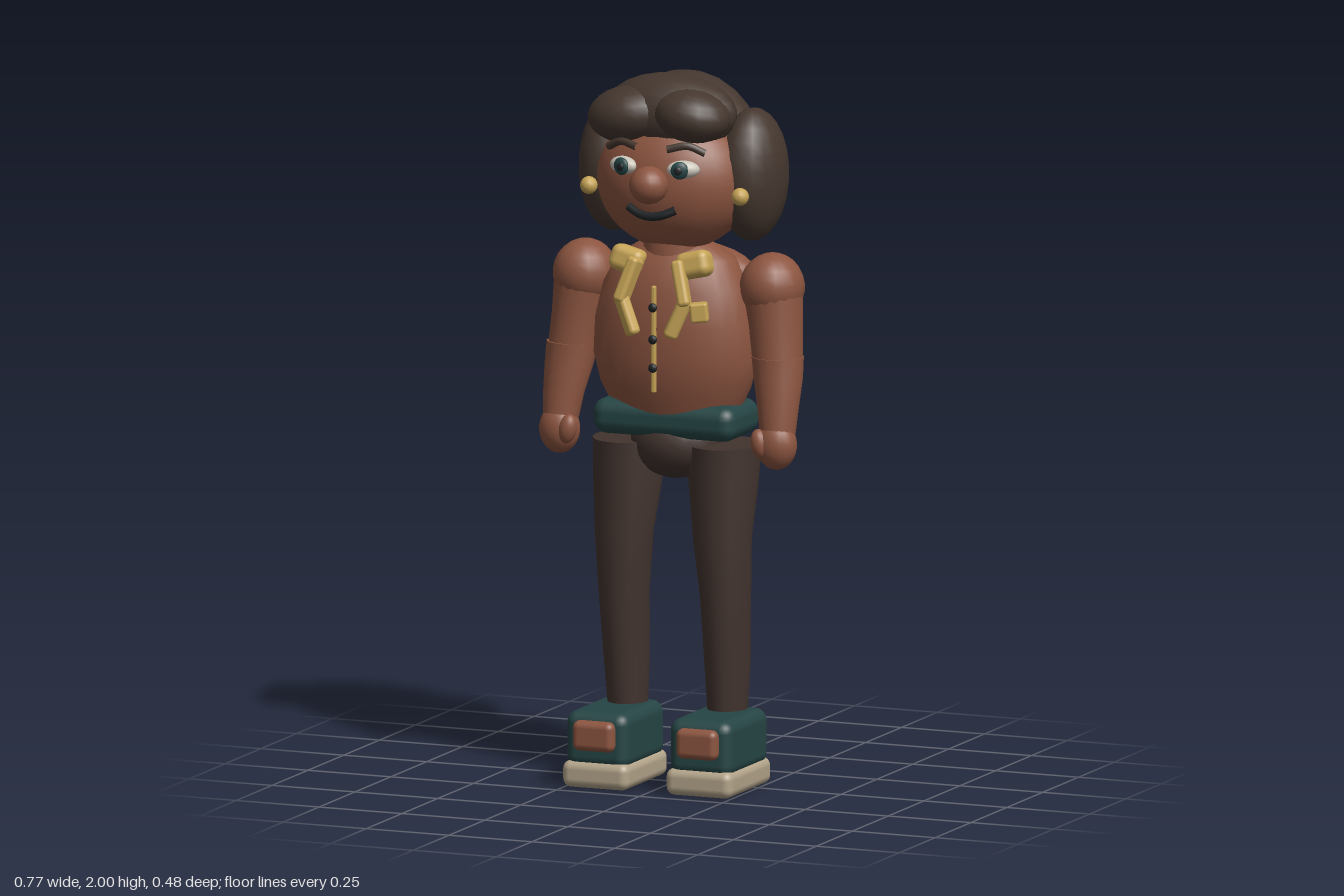
import * as THREE from 'three';
import { RoundedBoxGeometry } from 'three/addons/geometries/RoundedBoxGeometry.js';

const paint = (name, color) => {
  const m = new THREE.MeshStandardMaterial({ color });
  m.name = name;
  return m;
};

export function createModel() {
  const skin = paint('skin', 0x8c5540);
  const hair = paint('hair', 0x45372f);
  const cloth = paint('trousers', 0x42342f);
  const teal = paint('teal', 0x264545);
  const gold = paint('gold', 0xc6a456);
  const tan = paint('sole', 0xb3a48a);
  const white = paint('eyeWhite', 0xc9c4b8);
  const dark = paint('dark', 0x1e2224);

  const model = new THREE.Group();
  model.name = 'figure';

  const add = (name, geo, mat, p = [0, 0, 0], rot = [0, 0, 0]) => {
    const mesh = new THREE.Mesh(geo, mat);
    mesh.name = name;
    mesh.position.set(...p);
    mesh.rotation.set(...rot);
    model.add(mesh);
    return mesh;
  };
  const ball = (name, mat, p, r, rot, seg = 18) => {
    const mesh = add(name, new THREE.SphereGeometry(1, seg, Math.round(seg * 0.7)), mat, p, rot);
    mesh.scale.set(...r);
    return mesh;
  };
  const block = (name, mat, p, s, radius, rot) =>
    add(name, new RoundedBoxGeometry(...s, 3, radius), mat, p, rot);
  const tube = (name, mat, pts, r) => add(name, new THREE.TubeGeometry(
    new THREE.CatmullRomCurve3(pts.map(p => new THREE.Vector3(...p))), 12, r, 8), mat);

  // Flat bar running from a to b
  const bar = (name, mat, a, b, w, d) => {
    const A = new THREE.Vector3(...a), B = new THREE.Vector3(...b);
    const dir = B.clone().sub(A);
    const mesh = block(name, mat, A.clone().add(B).multiplyScalar(0.5).toArray(),
      [w, dir.length() + w * 0.5, d], d * 0.35);
    mesh.quaternion.setFromUnitVectors(new THREE.Vector3(0, 1, 0), dir.normalize());
  };

  // Capped body from oval rings [y, centreX, centreZ, radiusX, radiusZ], bottom to top
  const loft = (name, mat, rings, n = 20) => {
    const first = rings[0], last = rings[rings.length - 1];
    const all = [[...first.slice(0, 3), 0, 0], first, ...rings, last, [...last.slice(0, 3), 0, 0]];
    const pos = [], idx = [];
    all.forEach(([y, cx, cz, rx, rz], i) => {
      for (let j = 0; j < n; j++) {
        const t = j / n * Math.PI * 2;
        pos.push(cx + Math.cos(t) * rx, y, cz + Math.sin(t) * rz);
        if (i === all.length - 1) continue;
        const a = i * n + j, b = i * n + (j + 1) % n;
        idx.push(a, a + n, b, b, a + n, b + n);
      }
    });
    const g = new THREE.BufferGeometry();
    g.setAttribute('position', new THREE.Float32BufferAttribute(pos, 3));
    g.setIndex(idx);
    g.computeVertexNormals();
    return add(name, g, mat);
  };

  // Torso, upper back and neck
  loft('torso', skin, [
    [1.04, 0, -0.01, 0.18, 0.11], [1.12, 0, -0.005, 0.22, 0.135], [1.2, 0, -0.005, 0.24, 0.15],
    [1.3, 0, -0.005, 0.235, 0.152], [1.4, 0, -0.01, 0.212, 0.145], [1.48, 0, -0.015, 0.17, 0.12],
    [1.52, 0, -0.015, 0.1, 0.08]], 28);
  ball('upperBack', skin, [0, 1.42, -0.075], [0.215, 0.095, 0.1]);
  add('neck', new THREE.CylinderGeometry(0.085, 0.095, 0.14, 20), skin, [0, 1.51, 0]);

  // Belt and hips
  block('belt', teal, [0, 1.03, -0.005], [0.43, 0.1, 0.22], 0.04);
  block('beltBackPad', teal, [0, 1.03, -0.1], [0.2, 0.08, 0.07], 0.03);
  ball('hips', cloth, [0, 0.96, -0.01], [0.13, 0.105, 0.115]);

  // Head and face
  ball('head', skin, [0, 1.7, 0], [0.225, 0.2, 0.175], undefined, 28);
  ball('nose', skin, [0, 1.71, 0.185], [0.055, 0.053, 0.055]);
  tube('mouth', dark, [[-0.07, 1.64, 0.16], [-0.035, 1.625, 0.172], [0, 1.62, 0.176],
    [0.035, 1.625, 0.172], [0.07, 1.64, 0.16]], 0.012);

  // Hair masses
  ball('backHair', hair, [0, 1.775, -0.075], [0.215, 0.215, 0.168]);
  ball('crownHair', hair, [0, 1.89, 0.03], [0.195, 0.11, 0.115]);
  ball('leftFringe', hair, [0.085, 1.895, 0.08], [0.11, 0.075, 0.1], [0, 0, -0.15]);
  ball('rightFringe', hair, [-0.105, 1.885, 0.075], [0.12, 0.08, 0.1], [0, 0, 0.15]);

  // Shirt placket and buttons
  block('placket', gold, [0, 1.27, 0.149], [0.012, 0.3, 0.016], 0.004);
  for (const y of [1.36, 1.27, 1.19]) ball('button', dark, [0, y, 0.158], [0.013, 0.013, 0.009], undefined, 12);
  block('pocketSquare', gold, [0.135, 1.355, 0.145], [0.05, 0.055, 0.04], 0.008, [0, 0.3, 0.1]);

  for (const s of [-1, 1]) {
    const side = s > 0 ? 'left' : 'right';

    // Eyes, brows, earrings and side hair
    ball(side + 'Eye', white, [s * 0.09, 1.755, 0.152], [0.046, 0.025, 0.026], [0, s * 0.35, 0]);
    ball(side + 'Iris', teal, [s * 0.088, 1.755, 0.173], [0.025, 0.025, 0.012], [0, s * 0.3, 0]);
    ball(side + 'Pupil', dark, [s * 0.087, 1.755, 0.183], [0.012, 0.012, 0.006], [0, s * 0.3, 0], 12);
    tube(side + 'Brow', hair, [[s * 0.145, 1.8, 0.128], [s * 0.1, 1.82, 0.145], [s * 0.045, 1.81, 0.162]], 0.011);
    ball(side + 'SideHair', hair, [s * 0.208, 1.715, -0.06], [0.096, 0.187, 0.13]);
    ball(side + 'Earring', gold, [s * 0.228, 1.675, 0.075], [0.025, 0.025, 0.025], undefined, 12);

    // Neck scarf knots and hanging ends
    block(side + 'ScarfKnot', gold, [s * 0.1, 1.478, 0.095], [0.1, 0.075, 0.07], 0.025, [-0.2, 0, s * 0.25]);
    bar(side + 'ScarfUpper', gold, [s * 0.065, 1.48, 0.13], [s * 0.095, 1.38, 0.155], 0.05, 0.035);
    bar(side + 'ScarfLower', gold, [s * 0.095, 1.38, 0.155], [s * 0.057, 1.29, 0.165], 0.04, 0.035);

    // Arms
    ball(side + 'Shoulder', skin, [s * 0.282, 1.41, -0.025], [0.09, 0.095, 0.095]);
    loft(side + 'UpperArm', skin, [
      [1.19, s * 0.31, 0.0, 0.07, 0.068], [1.3, s * 0.297, -0.015, 0.075, 0.077],
      [1.42, s * 0.282, -0.025, 0.085, 0.088]]);
    loft(side + 'Forearm', skin, [
      [0.99, s * 0.328, 0.045, 0.048, 0.046], [1.08, s * 0.323, 0.03, 0.058, 0.056],
      [1.16, s * 0.315, 0.01, 0.069, 0.066], [1.22, s * 0.309, 0, 0.073, 0.072]]);
    ball(side + 'Hand', skin, [s * 0.327, 0.98, 0.05], [0.058, 0.07, 0.052]);
    ball(side + 'Thumb', skin, [s * 0.29, 0.985, 0.08], [0.026, 0.042, 0.026], [0, 0, s * 0.2]);

    // Legs
    loft(side + 'Leg', cloth, [
      [0.17, s * 0.15, -0.018, 0.053, 0.06], [0.35, s * 0.152, -0.013, 0.063, 0.076],
      [0.53, s * 0.153, 0.003, 0.07, 0.079], [0.7, s * 0.148, 0.014, 0.083, 0.076],
      [0.85, s * 0.144, -0.004, 0.097, 0.098], [0.96, s * 0.145, -0.015, 0.1, 0.115]]);

    // Shoes
    block(side + 'Sole', tan, [s * 0.156, 0.038, 0.06], [0.2, 0.076, 0.3], 0.025);
    block(side + 'Shoe', teal, [s * 0.156, 0.135, 0.058], [0.19, 0.16, 0.285], 0.035);
    block(side + 'ToePatch', skin, [s * 0.156, 0.15, 0.203], [0.124, 0.085, 0.045], 0.02);
  }
  return model;
}
